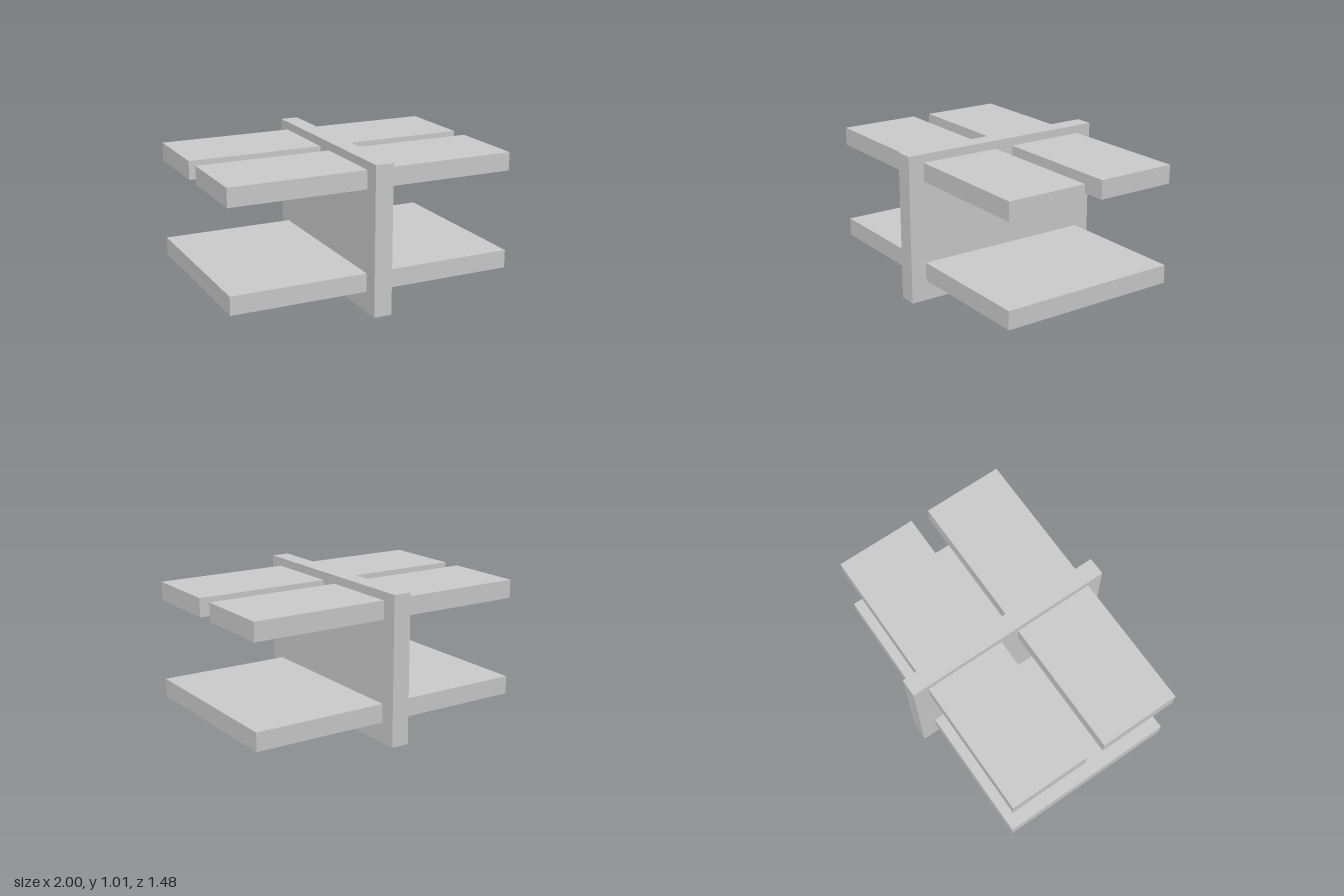
import * as THREE from 'three';

const HALF_LENGTH = 1;        // outer end of the shelves
const PANEL = 0.125;          // panel thickness
const SHELF = 0.126;          // shelf thickness
const SHELF_DEPTH = 1.26;
const GAP = 0.134;            // slot between the two upper shelves

export function createModel() {
  const group = new THREE.Group();
  const material = new THREE.MeshStandardMaterial({ color: 0xcccccc, flatShading: true });

  const addBox = (name, width, height, depth, x, y, z) => {
    const mesh = new THREE.Mesh(new THREE.BoxGeometry(width, height, depth), material);
    mesh.name = name;
    mesh.position.set(x, y, z);
    group.add(mesh);
  };

  // Upright panel in the middle
  addBox('centrePanel', PANEL, 1.012, 1.48, 0, 0.506, 0);

  // Shelves butt against both faces of the panel
  const width = HALF_LENGTH - PANEL / 2;
  const upperDepth = (SHELF_DEPTH - GAP) / 2;
  for (const [side, sx] of [['left', 1], ['right', -1]]) {
    const x = sx * (PANEL / 2 + width / 2);
    addBox(`${side}LowerShelf`, width, SHELF, SHELF_DEPTH, x, 0.204, 0);

    // Upper level is split into a front and a back shelf
    for (const [end, sz] of [['Front', 1], ['Back', -1]]) {
      addBox(`${side}${end}UpperShelf`, width, SHELF, upperDepth, x, 0.892, sz * (GAP + upperDepth) / 2);
    }
  }

  return group;
}
